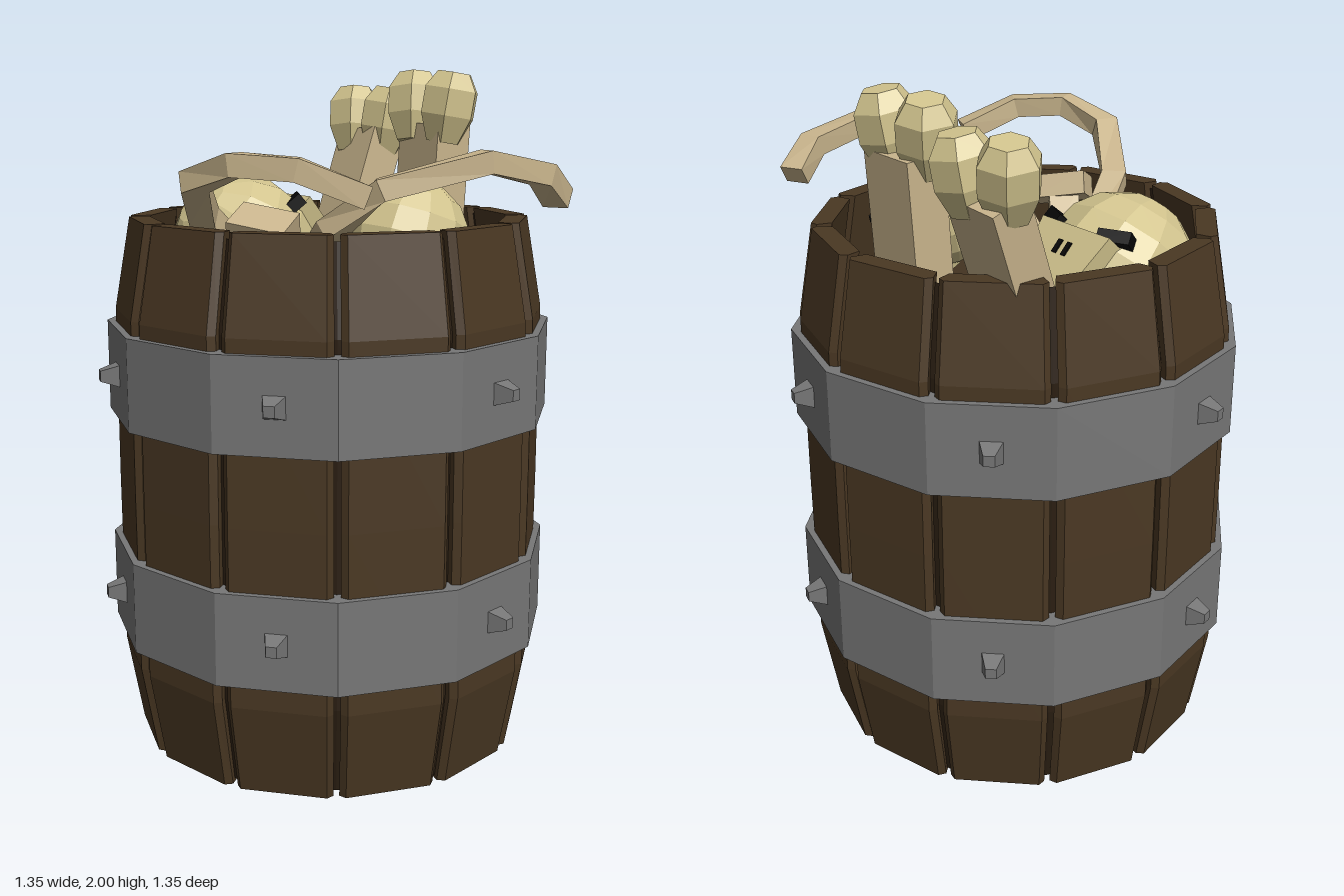
import * as THREE from 'three';

const mat = (color, side = THREE.FrontSide) =>
  new THREE.MeshStandardMaterial({ color, flatShading: true, side });
const WOOD = mat(0x4a3823), DARK = mat(0x2a1e12, THREE.DoubleSide), IRON = mat(0x777777);
const SKULL = mat(0xd2c48e), BONE = mat(0xc8b48c), BLACK = mat(0x080808), TOOTH = mat(0xcccccc);
const V = (p) => new THREE.Vector3(...p);

function add(parent, name, geo, material, pos = [0, 0, 0], rot = [0, 0, 0]) {
  const m = new THREE.Mesh(geo, material);
  m.name = name;
  m.position.set(...pos);
  m.rotation.set(...rot);
  parent.add(m);
  return m;
}
const box = (w, h, d) => new THREE.BoxGeometry(w, h, d);
const lathe = (pts, n) => new THREE.LatheGeometry(pts.map((p) => new THREE.Vector2(...p)), n);

// Rectangular section swept along a few points
function sweep(path, w, h) {
  const pts = path.map(V), pos = [], idx = [];
  pts.forEach((p, i) => {
    const t = pts[Math.min(i + 1, pts.length - 1)].clone().sub(pts[Math.max(i - 1, 0)]).normalize();
    const s = t.clone().cross(V([0, 1, 0])).normalize(), u = s.clone().cross(t);
    for (const [a, b] of [[1, 1], [-1, 1], [-1, -1], [1, -1]]) {
      const c = p.clone().addScaledVector(u, a * h / 2).addScaledVector(s, b * w / 2);
      pos.push(c.x, c.y, c.z);
    }
    if (i) for (let j = 0; j < 4; j++) {
      const a = (i - 1) * 4 + j, b = (i - 1) * 4 + (j + 1) % 4;
      idx.push(a, b, b + 4, a, b + 4, a + 4);
    }
  });
  const e = (pts.length - 1) * 4;
  idx.push(0, 2, 1, 0, 3, 2, e, e + 1, e + 2, e, e + 2, e + 3);
  const g = new THREE.BufferGeometry();
  g.setAttribute('position', new THREE.Float32BufferAttribute(pos, 3));
  g.setIndex(idx);
  g.computeVertexNormals();
  return g;
}

// Chamfered stave that bulges along its height
function staveGeometry() {
  const levels = [[0, 0.575], [0.27, 0.622], [0.79, 0.624], [1.31, 0.622], [1.58, 0.575]];
  const s = new THREE.Shape();
  [[-0.13, -0.06], [0.13, -0.06], [0.152, -0.02], [0.137, 0], [-0.137, 0], [-0.152, -0.02]]
    .forEach(([x, y], i) => (i ? s.lineTo(x, y) : s.moveTo(x, y)));
  const g = new THREE.ExtrudeGeometry(s, { depth: 4, steps: 4, bevelEnabled: false });
  const p = g.attributes.position;
  for (let i = 0; i < p.count; i++) {
    const [y, r] = levels[Math.round(p.getZ(i))];
    p.setXYZ(i, -p.getX(i) * r / 0.622, y, r + p.getY(i));
  }
  g.computeVertexNormals();
  return g;
}

// Skull faces +z before it is turned
function skull(name, r, pos, yaw, pitch) {
  const g = new THREE.Group();
  g.name = name;
  add(g, 'cranium', new THREE.SphereGeometry(1, 12, 8), SKULL);
  const face = box(1.2, 0.95, 0.8), p = face.attributes.position;
  for (let i = 0; i < p.count; i++) if (p.getY(i) < 0) p.setX(i, p.getX(i) * 0.7);
  add(g, 'face', face, SKULL, [0, -0.42, 0.6]);
  for (const s of [-1, 1]) {
    add(g, 'eyeSocket', box(0.42, 0.16, 0.3), BLACK, [s * 0.5, 0.12, 0.78], [0, s * 0.35, s * 0.3]);
    add(g, 'nostril', box(0.07, 0.18, 0.06), BLACK, [s * 0.08, -0.25, 0.99]);
  }
  for (let i = -2; i <= 2; i++) add(g, 'tooth', box(0.13, 0.15, 0.1), TOOTH, [i * 0.16, -0.92, 0.92]);
  g.scale.setScalar(r);
  g.position.set(...pos);
  g.rotation.set(pitch, yaw, 0, 'YXZ');
  return g;
}

// Long bone: flat shaft with a pair of knobs at each end
function longBone(name, top, bottom, width, knobs) {
  const g = new THREE.Group();
  g.name = name;
  const a = V(top), b = V(bottom), d = a.clone().sub(b);
  const shaft = add(g, 'shaft', box(0.12, d.length(), width), BONE, a.clone().add(b).multiplyScalar(0.5).toArray());
  shaft.quaternion.setFromUnitVectors(V([0, 1, 0]), d.normalize());
  const knob = lathe([[0, -0.11], [0.055, -0.11], [0.088, -0.03], [0.088, 0.05], [0.055, 0.1], [0, 0.1]], 6);
  knobs.forEach(([x, y, z], i) => {
    add(g, 'knob', knob, SKULL, [x, y, z], [i ? 0.12 : -0.12, 0.3, -0.15]);
    add(g, 'lowerKnob', knob, SKULL, [b.x, b.y, b.z + (i ? 0.07 : -0.07)]);
  });
  return g;
}

export function createModel() {
  const model = new THREE.Group();
  model.name = 'barrelOfBones';

  // Barrel
  const barrel = new THREE.Group();
  barrel.name = 'barrel';
  model.add(barrel);
  const stave = staveGeometry();
  for (let i = 0; i < 12; i++)
    add(barrel, 'stave', stave, WOOD, [0, 0, 0], [0, (i + 0.5) * Math.PI / 6, 0]);
  add(barrel, 'lining', lathe([[0, 0.01], [0.56, 0.01], [0.6, 0.27], [0.6, 1.31], [0.555, 1.56]], 12), DARK);

  // Iron hoops with six rivets each
  const rivet = new THREE.CylinderGeometry(0.022, 0.048, 0.06, 4).rotateY(Math.PI / 4).rotateX(Math.PI / 2);
  for (const y of [0.34, 1.0]) {
    add(barrel, 'hoop', lathe([[0.6, y], [0.665, y], [0.665, y + 0.27], [0.6, y + 0.27], [0.6, y]], 12), IRON);
    for (let i = 0; i < 6; i++) {
      const a = Math.PI / 12 + i * Math.PI / 3;
      add(barrel, 'rivet', rivet, IRON,
        [0.665 * Math.cos(a), y + 0.135, 0.665 * Math.sin(a)], [0, Math.PI / 2 - a, 0]);
    }
  }

  // Skulls
  model.add(skull('largeSkull', 0.228, [-0.13, 1.46, -0.29], Math.PI / 2, -0.75));
  model.add(skull('smallSkull', 0.18, [0.04, 1.53, 0.34], 1.75, 0.35));

  // Long bones standing out of the barrel
  model.add(longBone('middleBone', [0.4, 1.84, -0.02], [0.33, 0.75, -0.02], 0.2,
    [[0.38, 1.895, -0.1], [0.4, 1.895, 0.05]]));
  model.add(longBone('rearBone', [0.4, 1.8, -0.37], [0.02, 0.8, -0.3], 0.2,
    [[0.38, 1.85, -0.44], [0.42, 1.85, -0.31]]));

  // Ribs
  const ribs = [
    [[-0.22, 1.42, -0.05], [-0.45, 1.6, 0.07], [-0.57, 1.71, 0.25], [-0.53, 1.76, 0.4], [-0.42, 1.75, 0.52], [-0.26, 1.68, 0.59]],
    [[-0.2, 1.3, -0.02], [-0.22, 1.42, 0.2], [-0.23, 1.58, 0.38], [-0.16, 1.69, 0.51], [0.1, 1.76, 0.62], [0.3, 1.72, 0.61], [0.4, 1.65, 0.56]],
    [[-0.26, 1.36, -0.07], [-0.14, 1.38, -0.04], [-0.02, 1.36, 0.05], [0.06, 1.3, 0.15], [0.1, 1.2, 0.28]],
    [[-0.22, 1.22, 0.12], [-0.14, 1.25, 0.05], [0, 1.22, 0.01], [0.14, 1.15, 0.02], [0.22, 1.05, 0.1]],
  ];
  for (const path of ribs) add(model, 'rib', sweep(path, 0.075, 0.06), BONE);

  // Spine stub
  add(model, 'vertebra', box(0.12, 0.07, 0.17), BONE, [-0.32, 1.57, 0.17], [0.2, 0.65, 0.3]);
  add(model, 'spine', sweep([[-0.32, 1.55, 0.16], [-0.24, 1.42, 0.06], [-0.2, 1.25, 0], [-0.18, 1, -0.02]], 0.09, 0.09), BONE);

  // Loose jaw lying between the bones
  const jaw = new THREE.Group();
  jaw.name = 'jaw';
  model.add(jaw);
  add(jaw, 'jawBone', sweep([[0.07, 1.25, -0.14], [0.17, 1.28, -0.09], [0.22, 1.28, 0.04], [0.21, 1.24, 0.24]], 0.14, 0.12), SKULL);
  for (let i = 0; i < 6; i++)
    add(jaw, 'tooth', box(0.05, 0.06, 0.03), TOOTH, [0.31 - i * 0.006, 1.24, 0.05 + i * 0.037], [0, 0.2, 0]);

  return model;
}
